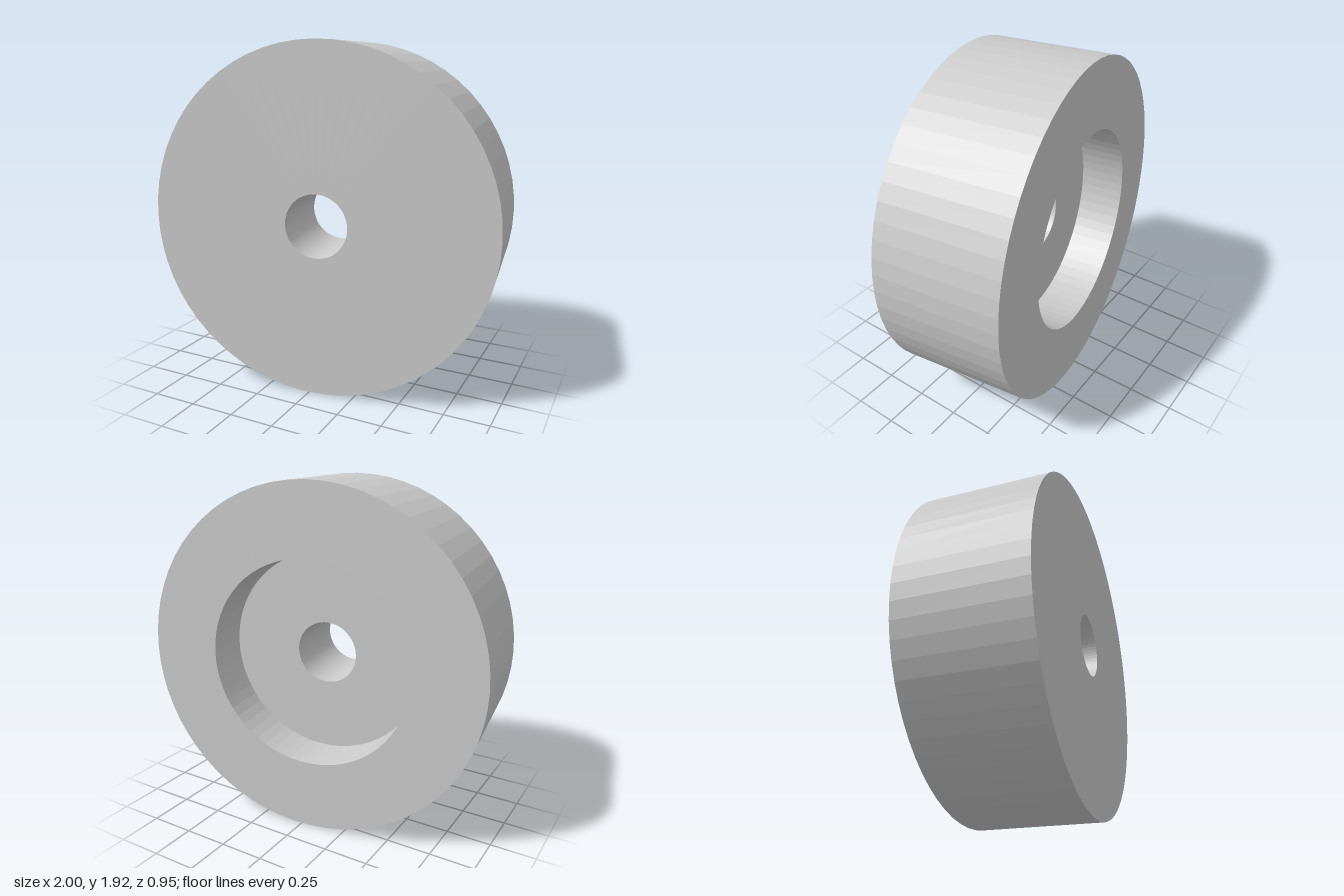
import * as THREE from 'three';

export function createModel() {
  const group = new THREE.Group();
  group.name = 'wheel';

  const R = 0.962;        // outer radius
  const half = 0.35;      // half of the thickness
  const bore = 0.175;     // through hole radius
  const recess = 0.571;   // radius of the counterbore in the back
  const floor = -half + 0.26;

  // Closed cross-section: rim, front face, bore, recess floor, recess wall, back face
  const profile = [
    [R, -half], [R, half], [bore, half], [bore, floor],
    [recess, floor], [recess, -half], [R, -half],
  ].map(([x, y]) => new THREE.Vector2(x, y));

  const geometry = new THREE.LatheGeometry(profile, 64);
  geometry.rotateX(Math.PI / 2); // axis along z, front face towards +z

  const disc = new THREE.Mesh(
    geometry,
    new THREE.MeshStandardMaterial({ color: 0xcccccc, flatShading: true })
  );
  disc.name = 'recessedDisc';
  disc.rotation.y = THREE.MathUtils.degToRad(7.73); // slight turn about the vertical
  disc.position.y = R;
  group.add(disc);

  return group;
}
